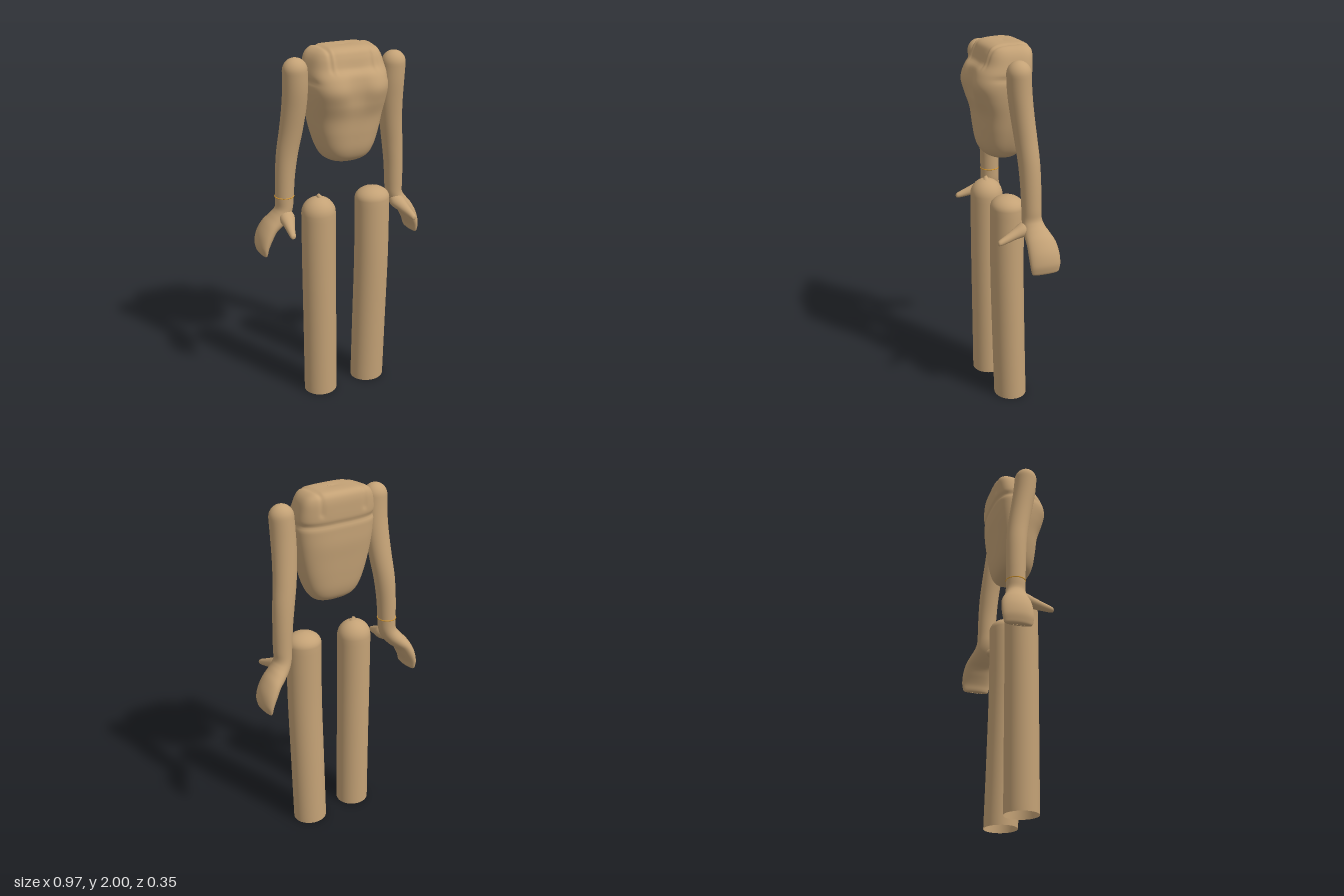
import * as THREE from 'three';

const skin = new THREE.MeshStandardMaterial({ color: 0xc4a276, side: THREE.DoubleSide });
const orange = new THREE.MeshStandardMaterial({ color: 0xd9992e });

// Smoothly add rows between the given rows of numbers
function refine(rows, k) {
  const out = [];
  const at = i => rows[Math.max(0, Math.min(rows.length - 1, i))];
  for (let i = 0; i < rows.length - 1; i++) {
    for (let s = 0; s < k; s++) {
      const t = s / k;
      out.push(rows[i].map((b, j) => {
        const a = at(i - 1)[j], c = at(i + 1)[j], d = at(i + 2)[j];
        return b + 0.5 * t * (c - a + t * (2 * a - 5 * b + 4 * c - d + t * (3 * (b - c) + d - a)));
      }));
    }
  }
  out.push(rows[rows.length - 1]);
  return out;
}

// Skin a stack of closed rings; point(row, angle) gives [x, y, z]
function loft(name, rows, segs, point, material = skin) {
  const pos = [], idx = [];
  rows.forEach((row, i) => {
    for (let j = 0; j < segs; j++) {
      pos.push(...point(row, (j / segs) * Math.PI * 2));
      if (i === rows.length - 1) continue;
      const a = i * segs + j, b = i * segs + (j + 1) % segs;
      idx.push(a, b, a + segs, b, b + segs, a + segs);
    }
  });
  const g = new THREE.BufferGeometry();
  g.setAttribute('position', new THREE.Float32BufferAttribute(pos, 3));
  g.setIndex(idx);
  g.computeVertexNormals();
  const mesh = new THREE.Mesh(g, material);
  mesh.name = name;
  return mesh;
}

// Limb ring: row = [x, y, z, rx, rz, tilt]
const limbPoint = ([x, y, z, rx, rz, tilt], a) => [
  x + rx * Math.cos(a) * Math.cos(tilt),
  y + rx * Math.cos(a) * Math.sin(tilt),
  z + rz * Math.sin(a),
];

// Rings of a rounded top, from the pole down to the equator
function dome(x, top, z, rx, rz, h) {
  return Array.from({ length: 9 }, (_, i) => {
    const t = (i / 8) * Math.PI / 2, s = Math.max(Math.sin(t), 0.001);
    return [x, top - h * (1 - Math.cos(t)), z, rx * s, rz * s, 0];
  });
}

const bump = (v, w) => Math.exp(-(v * v) / (w * w));

function makeTorso() {
  // [y, half width, front z, back z, squareness]
  const rows = refine([
    [1.995, 0.002, -0.019, -0.021, 4], [1.998, 0.06, 0.01, -0.06, 4],
    [1.995, 0.13, 0.055, -0.105, 4], [1.98, 0.168, 0.088, -0.127, 3.8],
    [1.95, 0.192, 0.106, -0.136, 3.6], [1.9, 0.207, 0.125, -0.137, 3.4],
    [1.85, 0.215, 0.158, -0.136, 3.3], [1.79, 0.217, 0.176, -0.135, 3.2],
    [1.72, 0.212, 0.16, -0.134, 3], [1.64, 0.2, 0.133, -0.126, 2.9],
    [1.55, 0.181, 0.123, -0.117, 2.8], [1.47, 0.155, 0.112, -0.106, 2.7],
    [1.42, 0.125, 0.09, -0.088, 2.6], [1.395, 0.085, 0.055, -0.06, 2.5],
    [1.388, 0.04, 0.025, -0.03, 2.3], [1.392, 0.002, 0.001, -0.003, 2],
  ], 6);
  return loft('torso', rows, 112, ([y, hw, zf, zb, n], a) => {
    const pw = v => Math.sign(v) * Math.abs(v) ** (2 / n);
    const zn = pw(Math.sin(a));
    let x = hw * pw(Math.cos(a)) * (1 - 0.12 * zn);
    let z = (zf + zb) / 2 + zn * (zf - zb) / 2;
    const front = THREE.MathUtils.smoothstep(zn, 0.2, 0.9);
    const back = THREE.MathUtils.smoothstep(-zn, 0.2, 0.9);
    const upper = THREE.MathUtils.smoothstep(y, 1.87, 1.9);
    // dip between the chest halves
    z -= 0.027 * front * bump(x, 0.07) * bump(y - 1.79, 0.09);
    // recessed neck panel and its side seams
    const panel = 1 - THREE.MathUtils.smoothstep(Math.abs(x), 0.095, 0.115);
    z -= 0.01 * front * panel * upper;
    const seam = bump(Math.abs(x) - 0.125, 0.012) * upper;
    z += 0.006 * seam * (back - front);
    // seam around the back and sides
    const belt = bump(y - 1.835, 0.014);
    z += 0.007 * back * belt;
    x *= 1 - 0.03 * belt * (1 - front);
    return [x, y - 0.006 * seam * bump(y - 2, 0.03), z];
  });
}

// side: +1 left, -1 right; lift and back shift the limb a little
function makeArm(side, lift, back) {
  const arm = new THREE.Group();
  arm.name = side > 0 ? 'leftArm' : 'rightArm';
  const place = rows => rows.map(([x, y, z, rx, rz, t]) => [
    side * x, y + lift, z - back * THREE.MathUtils.smoothstep(1.9 - y, 0, 0.5), rx, rz, side * t]);

  const path = refine([
    [0.28, 1.88, 0, 0.065, 0.062, 0], [0.277, 1.78, -0.007, 0.066, 0.062, 0],
    [0.28, 1.67, -0.02, 0.065, 0.06, 0.04], [0.291, 1.55, -0.035, 0.062, 0.058, 0.08],
    [0.308, 1.43, -0.047, 0.058, 0.056, 0.08], [0.32, 1.31, -0.053, 0.053, 0.054, 0.04],
    [0.326, 1.19, -0.056, 0.05, 0.052, 0.03], [0.329, 1.13, -0.058, 0.047, 0.053, 0.15],
    [0.345, 1.09, -0.062, 0.047, 0.06, 0.5], [0.375, 1.055, -0.07, 0.045, 0.07, 0.75],
    [0.41, 1.02, -0.078, 0.041, 0.079, 0.72], [0.438, 0.97, -0.082, 0.039, 0.084, 0.45],
    [0.455, 0.92, -0.083, 0.031, 0.083, 0.3], [0.457, 0.885, -0.083, 0.022, 0.077, 0.2],
    [0.457, 0.871, -0.083, 0.014, 0.068, 0.1], [0.457, 0.868, -0.083, 0.001, 0.04, 0],
  ], 5);
  arm.add(loft('armAndHand', place([...dome(0.28, 1.945, 0, 0.065, 0.062, 0.065).slice(0, -1), ...path]), 32, limbPoint));

  // thumb reaching forward
  const thumb = place(refine([
    [0.333, 1.085, -0.06, 0.035, 0.035, 0], [0.332, 1.08, -0.01, 0.043, 0.038, 0],
    [0.34, 1.064, 0.04, 0.032, 0.029, 0], [0.35, 1.046, 0.09, 0.022, 0.022, 0],
    [0.356, 1.034, 0.127, 0.016, 0.016, 0], [0.357, 1.031, 0.138, 0.01, 0.01, 0],
    [0.357, 1.031, 0.14, 0.001, 0.001, 0],
  ], 4));
  arm.add(loft('thumb', thumb, 20, ([x, y, z, rx, ry], a) => [x + rx * Math.cos(a), y + ry * Math.sin(a), z]));
  return arm;
}

// Open-bottomed leg with a rounded top
function makeLeg(name, x, top, z, r, h, foot) {
  const path = refine([
    [x, top - h, z, r, 0.09, 0], [x - 0.001, 0.8, z, r, 0.09, 0],
    [x + foot[0] * 0.6, 0.4, z + foot[1] * 0.45, r, 0.09, 0],
    [x + foot[0], 0, z + foot[1], r, 0.09, 0],
  ], 6);
  return loft(name, [...dome(x, top, z, r, 0.09, h).slice(0, -1), ...path], 40, limbPoint);
}

export function createModel() {
  const model = new THREE.Group();
  model.name = 'figure';
  model.add(makeTorso(), makeArm(1, 0, 0), makeArm(-1, 0.014, 0.018));
  model.add(makeLeg('leftLeg', 0.158, 1.21, 0.01, 0.097, 0.065, [-0.01, -0.025]));
  model.add(makeLeg('rightLeg', -0.163, 1.2, 0.006, 0.094, 0.09, [0.001, -0.004]));

  // small peg on the right leg
  const peg = new THREE.Mesh(new THREE.CylinderGeometry(0.008, 0.02, 0.03, 12), skin);
  peg.name = 'legPeg';
  peg.position.set(-0.16, 1.2, 0.01);
  peg.rotation.z = 0.4;
  model.add(peg);

  // thin band on the right wrist
  const band = new THREE.Mesh(new THREE.TorusGeometry(0.051, 0.003, 8, 40), orange);
  band.name = 'wristBand';
  band.rotation.x = Math.PI / 2;
  band.position.set(-0.326, 1.205, -0.074);
  model.add(band);
  return model;
}
